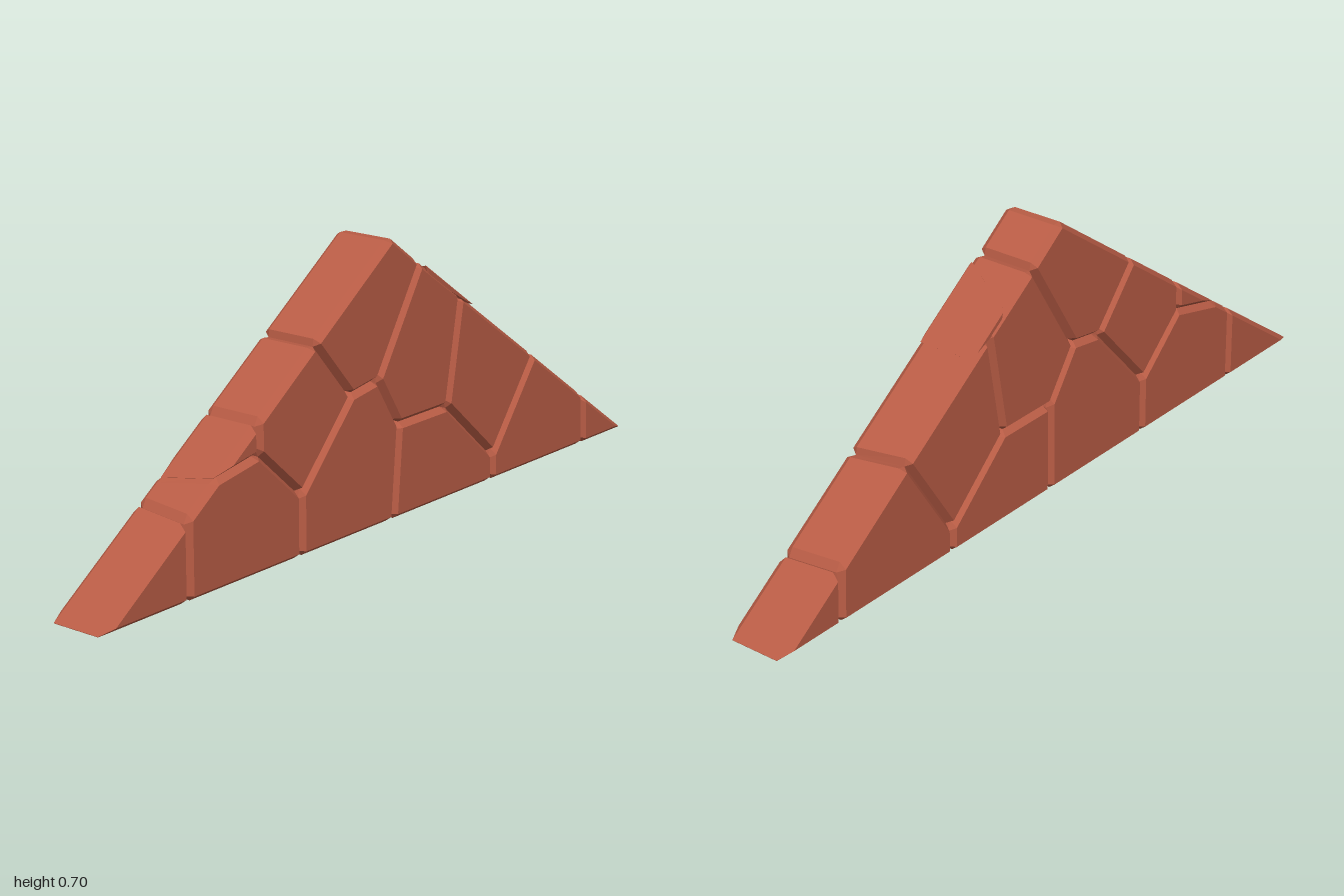
import * as THREE from 'three';

const HALF = 0.084;   // half wall thickness
const RIM = 0.017;    // bevel depth towards front and back
const INSET = 0.013;  // bevel width on the faces
const CUT = 0.014;    // chamfer of the stone corners

// Joint points shared by neighbouring stones: [x, y] in front, optional [x, y] at the back
const P = {
  tipR: [-1, 0], tipL: [1, 0], apex: [0, 0.707],
  b1: [-0.72, 0, -0.71, 0], b2: [-0.333, 0], b3: [0.01, 0, 0.04, 0], b4: [0.41, 0], b5: [0.81, 0, 0.8, 0],
  s1: [-0.72, 0.197, -0.71, 0.204], s2: [-0.625, 0.264, -0.65, 0.246], s3: [-0.48, 0.366],
  s4: [-0.283, 0.506], s5: [0.11, 0.626], s6: [0.27, 0.514],
  s7: [0.58, 0.296, 0.565, 0.307], s8: [0.805, 0.137, 0.795, 0.144],
  j1: [-0.333, 0.155], j2: [-0.48, 0.288], j3: [-0.15, 0.353], j4: [-0.05, 0.368],
  j5: [0.03, 0.24, 0.04, 0.24], j6: [0.22, 0.24], j7: [0.41, 0.07],
};

// Stones as counter-clockwise loops of joint points
const STONES = {
  rightTipStone: 'tipR b1 s1',
  rightBaseStone: 'b1 b2 j1 j2 s2 s1',
  rightChipStone: 's2 j2 s3',
  rightSlopeStone: 'j1 j3 s4 s3 j2',
  centreBaseStone: 'b2 b3 j5 j4 j3 j1',
  apexStone: 'j3 j4 s5 apex s4',
  upperLeftStone: 'j5 j6 s6 s5 j4',
  leftInnerBaseStone: 'b3 b4 j7 j6 j5',
  leftSlopeStone: 'j6 j7 s7 s6',
  leftBaseStone: 'b4 b5 s8 s7 j7',
  leftTipStone: 'b5 tipL s8',
};

// Each corner gives two chamfer points on the rim and one mitred point on the face
function rings(loop, inset, cut) {
  const rim = [], face = [];
  loop.forEach((p, i) => {
    const n = loop.length;
    const toPrev = loop[(i + n - 1) % n].clone().sub(p).normalize();
    const toNext = loop[(i + 1) % n].clone().sub(p).normalize();
    const angle = Math.acos(THREE.MathUtils.clamp(toPrev.dot(toNext), -1, 1));
    const c = angle < 0.8 ? cut * 0.15 : cut; // keep pointed tips sharp
    rim.push(p.clone().addScaledVector(toPrev, c), p.clone().addScaledVector(toNext, c));
    const inward = new THREE.Vector2(-toNext.y, toNext.x).add(new THREE.Vector2(toPrev.y, -toPrev.x)).normalize();
    const q = p.clone().addScaledVector(inward, inset / Math.sin(angle / 2));
    face.push(q, q);
  });
  return { rim, face };
}

// Bevelled block between a front and a back outline
function stoneGeometry(front, back, half = HALF, inset = INSET, cut = CUT, rimDepth = RIM) {
  const f = rings(front, inset, cut), b = rings(back, inset, cut);
  const layers = [[f.face, half], [f.rim, half - rimDepth], [b.rim, rimDepth - half], [b.face, -half]]
    .map(([pts, z]) => pts.map((p) => new THREE.Vector3(p.x, p.y, z)));
  const pos = [];
  const tri = (a, b2, c) => {
    const area = b2.clone().sub(a).cross(c.clone().sub(a)).length();
    if (area > 1e-9) [a, b2, c].forEach((v) => pos.push(v.x, v.y, v.z));
  };
  const n = f.rim.length;
  for (let l = 0; l < 3; l++) {
    const A = layers[l], B = layers[l + 1];
    for (let i = 0; i < n; i++) {
      const k = (i + 1) % n;
      tri(A[i], B[i], B[k]);
      tri(A[i], B[k], A[k]);
    }
  }
  for (let i = 1; i < n - 1; i++) {
    tri(layers[0][0], layers[0][i], layers[0][i + 1]);
    tri(layers[3][0], layers[3][i + 1], layers[3][i]);
  }
  const g = new THREE.BufferGeometry();
  g.setAttribute('position', new THREE.Float32BufferAttribute(pos, 3));
  g.computeVertexNormals();
  return g;
}

export function createModel() {
  const group = new THREE.Group();
  group.name = 'stoneGable';
  const brick = new THREE.MeshStandardMaterial({ color: 0xb85c45 });
  brick.name = 'brickRed';

  const add = (name, geometry) => {
    const mesh = new THREE.Mesh(geometry, brick);
    mesh.name = name;
    group.add(mesh);
  };

  for (const [name, keys] of Object.entries(STONES)) {
    const pts = keys.split(' ').map((k) => P[k]);
    const front = pts.map((p) => new THREE.Vector2(p[0], p[1]));
    const back = pts.map((p) => new THREE.Vector2(p[2] ?? p[0], p[3] ?? p[1]));
    add(name, stoneGeometry(front, back));
  }

  // Thin chip lying on the left slope, cut at a slant towards the back
  const chip = (x0, x1) => [[x0, 0], [x0 + 0.01, -0.03], [x1 - 0.03, -0.01], [x1, 0]]
    .map(([x, dy]) => new THREE.Vector2(x, 0.708 * (1 - x) + dy + 0.001));
  add('leftSlopeChip', stoneGeometry(chip(0.14, 0.33), chip(0.21, 0.33), 0.079, 0.003, 0.002, 0.004));

  return group;
}
